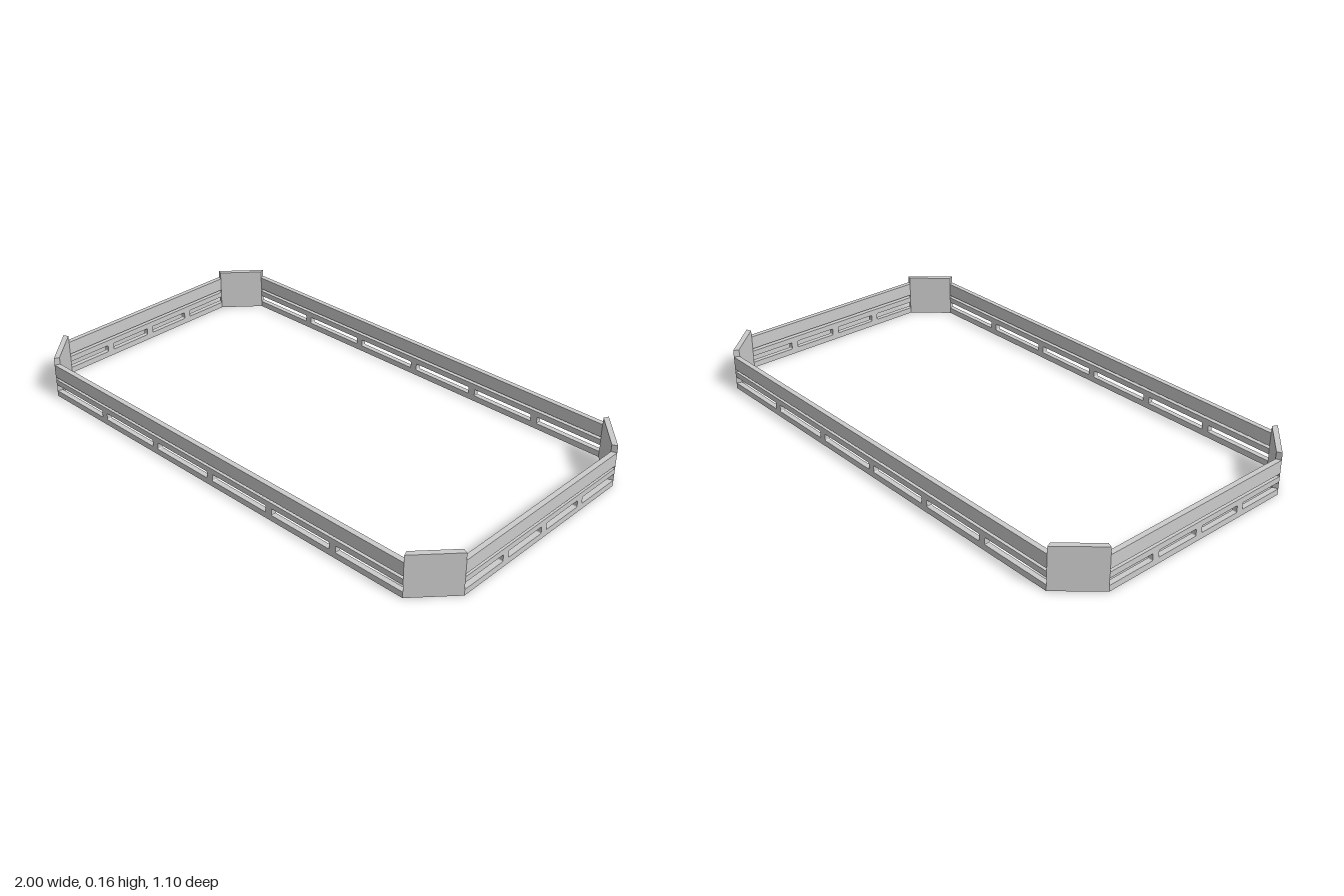
import * as THREE from 'three';

const T = 0.02; // wall thickness
const material = new THREE.MeshStandardMaterial({ color: 0xcccccc, flatShading: true });

function rectangle(length, y0, y1) {
  const h = length / 2;
  return new THREE.Shape([[-h, y0], [h, y0], [h, y1], [-h, y1]].map(([x, y]) => new THREE.Vector2(x, y)));
}

// Rounded slot between two dividers
function slot(x0, x1, y0, y1, r) {
  const p = new THREE.Path();
  p.moveTo(x0 + r, y0);
  p.lineTo(x1 - r, y0);
  p.quadraticCurveTo(x1, y0, x1, y0 + r);
  p.lineTo(x1, y1 - r);
  p.quadraticCurveTo(x1, y1, x1 - r, y1);
  p.lineTo(x0 + r, y1);
  p.quadraticCurveTo(x0, y1, x0, y1 - r);
  p.lineTo(x0, y0 + r);
  p.quadraticCurveTo(x0, y0, x0 + r, y0);
  return p;
}

// Lower rail: closed slots in the middle, slots open to the corners at both ends
function slottedRail(length, slots, pitch) {
  const h = length / 2, y0 = 0.023, y1 = 0.05, top = 0.072, r = 0.004, half = 0.014;
  const n = pitch * (slots / 2 - 1) + half; // inner end of the open slots
  const s = new THREE.Shape();
  s.moveTo(-h, 0);
  s.lineTo(h, 0);
  s.lineTo(h, y0);
  s.lineTo(n + r, y0);
  s.quadraticCurveTo(n, y0, n, y0 + r);
  s.lineTo(n, y1 - r);
  s.quadraticCurveTo(n, y1, n + r, y1);
  s.lineTo(h, y1);
  s.lineTo(h, top);
  s.lineTo(-h, top);
  s.lineTo(-h, y1);
  s.lineTo(-n - r, y1);
  s.quadraticCurveTo(-n, y1, -n, y1 - r);
  s.lineTo(-n, y0 + r);
  s.quadraticCurveTo(-n, y0, -n - r, y0);
  s.lineTo(-h, y0);
  s.closePath();
  for (let i = 1; i < slots - 1; i++) {
    const x = (i - slots / 2) * pitch;
    s.holes.push(slot(x + half, x + pitch - half, y0, y1, r));
  }
  return s;
}

// Extrude to wall thickness (outer face at z = 0) and mitre the inner ends
function wall(name, shape, length, mitreStart, mitreEnd) {
  const g = new THREE.ExtrudeGeometry(shape, { depth: T, bevelEnabled: false, curveSegments: 3 });
  g.translate(0, 0, -T);
  const p = g.attributes.position;
  for (let i = 0; i < p.count; i++) {
    if (p.getZ(i) > -T / 2) continue;
    const x = p.getX(i);
    if (x < -length / 2 + 1e-4) p.setX(i, x + mitreStart);
    if (x > length / 2 - 1e-4) p.setX(i, x - mitreEnd);
  }
  g.computeVertexNormals();
  const mesh = new THREE.Mesh(g, material);
  mesh.name = name;
  return mesh;
}

export function createModel() {
  const model = new THREE.Group();
  model.name = 'octagonalRailing';

  // Outer footprint as [x, z], running around from the front edge
  const a = 0.872, b = 0.408, X = 1, Z = 0.548;
  const corners = [[-a, Z], [a, Z], [X, b], [X, -b], [a, -Z], [-a, -Z], [-X, -b], [-X, b]];
  const names = ['frontRail', 'frontLeftCorner', 'leftRail', 'backLeftCorner',
    'backRail', 'backRightCorner', 'rightRail', 'frontRightCorner'];
  const turn = Math.atan2(Z - b, X - a);
  const mitreLong = T * Math.tan(turn / 2);
  const mitreShort = T * Math.tan((Math.PI / 2 - turn) / 2);

  names.forEach((name, i) => {
    const [x0, z0] = corners[i], [x1, z1] = corners[(i + 1) % 8];
    const length = Math.hypot(x1 - x0, z1 - z0);
    const side = new THREE.Group();
    side.name = name;
    side.position.set((x0 + x1) / 2, 0, (z0 + z1) / 2);
    side.rotation.y = Math.atan2(z0 - z1, x1 - x0);
    const isLong = i % 4 === 0 || i % 4 === 1; // vertex at the start joins a long side
    const start = isLong && i % 4 === 0 ? mitreLong : i % 4 === 1 ? mitreLong : mitreShort;
    const end = i % 4 === 0 || i % 4 === 3 ? mitreLong : mitreShort;

    if (i % 2) {
      // Tall solid corner panel
      side.add(wall('cornerPanel', rectangle(length, 0, 0.163), length, start, end));
    } else {
      // Solid upper rail above a slotted lower rail
      const lower = i % 4 === 0 ? slottedRail(length, 6, 0.289) : slottedRail(length, 4, 0.203);
      side.add(wall('upperRail', rectangle(length, 0.083, 0.135), length, start, end));
      side.add(wall('slottedLowerRail', lower, length, start, end));
    }
    model.add(side);
  });
  return model;
}
